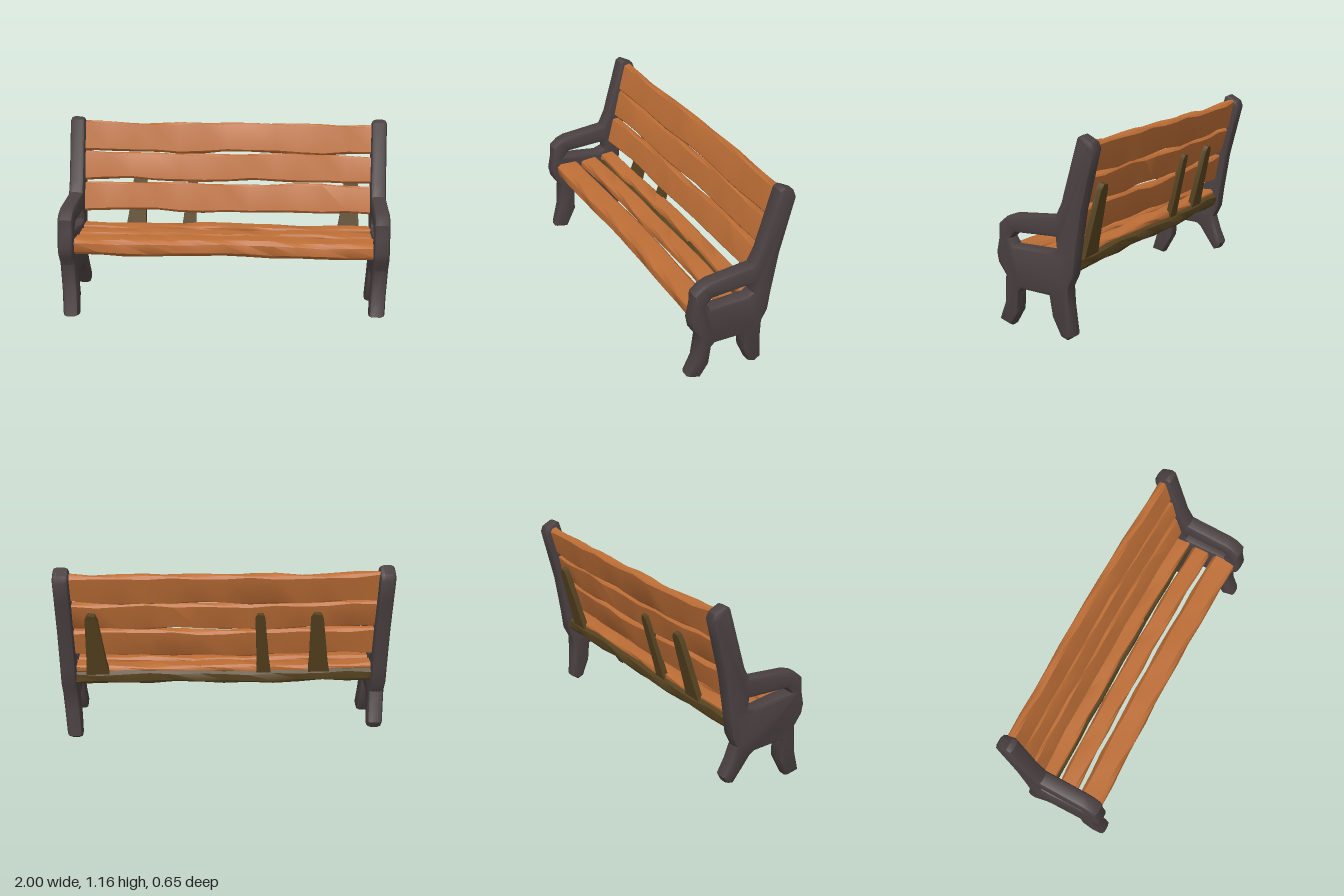
import * as THREE from 'three';
import { toCreasedNormals } from 'three/addons/utils/BufferGeometryUtils.js';

const iron = new THREE.MeshStandardMaterial({ color: 0x4a4041 });
iron.name = 'dark iron';
const wood = new THREE.MeshStandardMaterial({ color: 0xbd6e36 });
wood.name = 'orange wood';
const oldWood = new THREE.MeshStandardMaterial({ color: 0x574320 });
oldWood.name = 'olive wood';

function add(group, name, geometry, material) {
  const mesh = new THREE.Mesh(toCreasedNormals(geometry, 0.7), material);
  mesh.name = name;
  group.add(mesh);
  return mesh;
}

// Hand-hewn plank along x: rounded section lofted through gently uneven stations
function plank(length, height, depth, seed, bow = 0.018) {
  const h = height / 2, d = depth / 2, r = Math.min(h, d) * 0.45, steps = 12;
  const section = [[d, r - h], [d, h - r], [d - r, h], [r - d, h], [-d, h - r], [-d, r - h], [r - d, -h], [d - r, -h]];
  const n = section.length, pos = [], index = [];
  for (let i = 0; i <= steps; i++) {
    const t = i / steps * 2 - 1;
    const grow = 1 + 0.05 * Math.sin(i * 1.3 + seed * 2.1);
    const lift = 0.005 * Math.sin(i * 0.9 + seed * 1.7);
    section.forEach(([z, y], j) => {
      const dent = 0.004 * Math.sin(i * 2.3 + j * 1.9 + seed);
      pos.push(t * length / 2, y * grow + lift + dent, z + dent - bow * (1 - t * t) + bow / 2);
    });
  }
  for (let i = 0; i < steps; i++) {
    for (let j = 0; j < n; j++) {
      const a = i * n + j, b = i * n + (j + 1) % n;
      index.push(a, a + n, b, b, a + n, b + n);
    }
  }
  const last = steps * n;
  for (let j = 1; j < n - 1; j++) index.push(0, j, j + 1, last, last + j + 1, last + j);
  const g = new THREE.BufferGeometry();
  g.setAttribute('position', new THREE.Float32BufferAttribute(pos, 3));
  g.setIndex(index);
  return g;
}

const toPoints = (list) => list.map(([a, b]) => new THREE.Vector2(a, b));

// Cast end frame: post, arm and legs in one outline (z, y) with a slot under the arm
function endFrame(side, rearLeg, frontLeg, slot) {
  const shape = new THREE.Shape(toPoints([
    [-0.215, 1.15], [-0.245, 1.165], [-0.31, 1.13], [-0.325, 1.09], [-0.29, 0.95], [-0.24, 0.75],
    [-0.2, 0.5], [-0.185, 0.38], [-0.15, 0.31], ...rearLeg,
    [-0.02, 0.25], [0.16, 0.26], ...frontLeg,
    [0.265, 0.335], [0.31, 0.4], [0.322, 0.46], [0.303, 0.55], [0.3, 0.63], [0.25, 0.672],
    [0.2, 0.69], [-0.07, 0.71], [-0.11, 0.79],
  ]));
  shape.holes.push(new THREE.Path(toPoints(slot)));
  const g = new THREE.ExtrudeGeometry(shape, {
    depth: 0.045, bevelThickness: 0.025, bevelSize: 0.022, bevelOffset: -0.022, bevelSegments: 2,
  });
  g.rotateY(-Math.PI / 2);
  g.translate(0.0225 + side * 0.9525, 0, 0);
  // feet lean slightly inwards
  const p = g.attributes.position;
  for (let i = 0; i < p.count; i++) {
    p.setX(i, p.getX(i) - side * 0.02 * Math.max(0, 1 - p.getY(i) / 0.35));
  }
  return g;
}

export function createModel() {
  const bench = new THREE.Group();
  bench.name = 'bench';

  // End frames, each with its own crooked legs
  add(bench, 'leftEndFrame', endFrame(1,
    [[-0.152, 0.2], [-0.167, 0.03], [-0.125, 0.003], [-0.085, 0.02], [-0.035, 0.13]],
    [[0.18, 0.24], [0.19, 0.12], [0.245, 0.03], [0.325, 0.06], [0.28, 0.17]],
    [[0.225, 0.55], [0.19, 0.585], [-0.07, 0.592], [-0.076, 0.53], [-0.05, 0.512], [0.2, 0.513]]), iron);
  add(bench, 'rightEndFrame', endFrame(-1,
    [[-0.18, 0.22], [-0.222, 0.13], [-0.2, 0.09], [-0.16, 0.078], [-0.1, 0.16], [-0.05, 0.23]],
    [[0.165, 0.13], [0.235, 0.003], [0.322, 0.022], [0.28, 0.17]],
    [[0.225, 0.55], [0.19, 0.585], [-0.07, 0.592], [-0.076, 0.535], [-0.03, 0.52], [0.13, 0.545]]), iron);

  // Leaning back slats: centre height and slat height
  const backZ = (y) => -0.275 - 0.25 * (y - 1.12);
  const lean = -Math.atan(0.25);
  [[1.035, 0.185], [0.853, 0.172], [0.665, 0.178]].forEach(([y, h], i) => {
    const slat = add(bench, 'backSlat' + (i + 1), plank(1.82, h, 0.05, i * 3 + 1), wood);
    slat.position.set(0, y, backZ(y));
    slat.rotation.x = lean;
  });

  // Seat slats: z, y, depth, height
  [[0.195, 0.45, 0.15, 0.1], [0.035, 0.465, 0.115, 0.06], [-0.105, 0.475, 0.1, 0.045]].forEach(([z, y, d, h], i) => {
    add(bench, 'seatSlat' + (i + 1), plank(1.82, h, d, i * 2 + 5), wood).position.set(0, y, z);
  });

  // Rear beam under the seat
  add(bench, 'rearBeam', plank(1.82, 0.08, 0.13, 4, 0.01), oldWood).position.set(0, 0.43, -0.11);

  // Tapered braces behind the back: x, base width, top width, sideways lean
  [[-0.585, 0.14, 0.075, 0.03], [-0.245, 0.095, 0.06, 0.03], [0.77, 0.15, 0.075, 0.02]].forEach(([x, w, top, shift], i) => {
    const outline = toPoints([
      [-w / 2, 0], [w / 2, 0], [w * 0.42 + shift * 0.2, 0.12], [top / 2 + shift, 0.43],
      [top * 0.25 + shift, 0.465], [shift - top * 0.3, 0.46], [shift - top / 2, 0.42], [shift * 0.2 - w * 0.38, 0.12],
    ]);
    const g = new THREE.ExtrudeGeometry(new THREE.Shape(outline), { depth: 0.035, bevelEnabled: false });
    const brace = add(bench, 'backBrace' + (i + 1), g, oldWood);
    brace.position.set(x, 0.42, backZ(0.42) - 0.062);
    brace.rotation.x = lean;
  });

  return bench;
}
